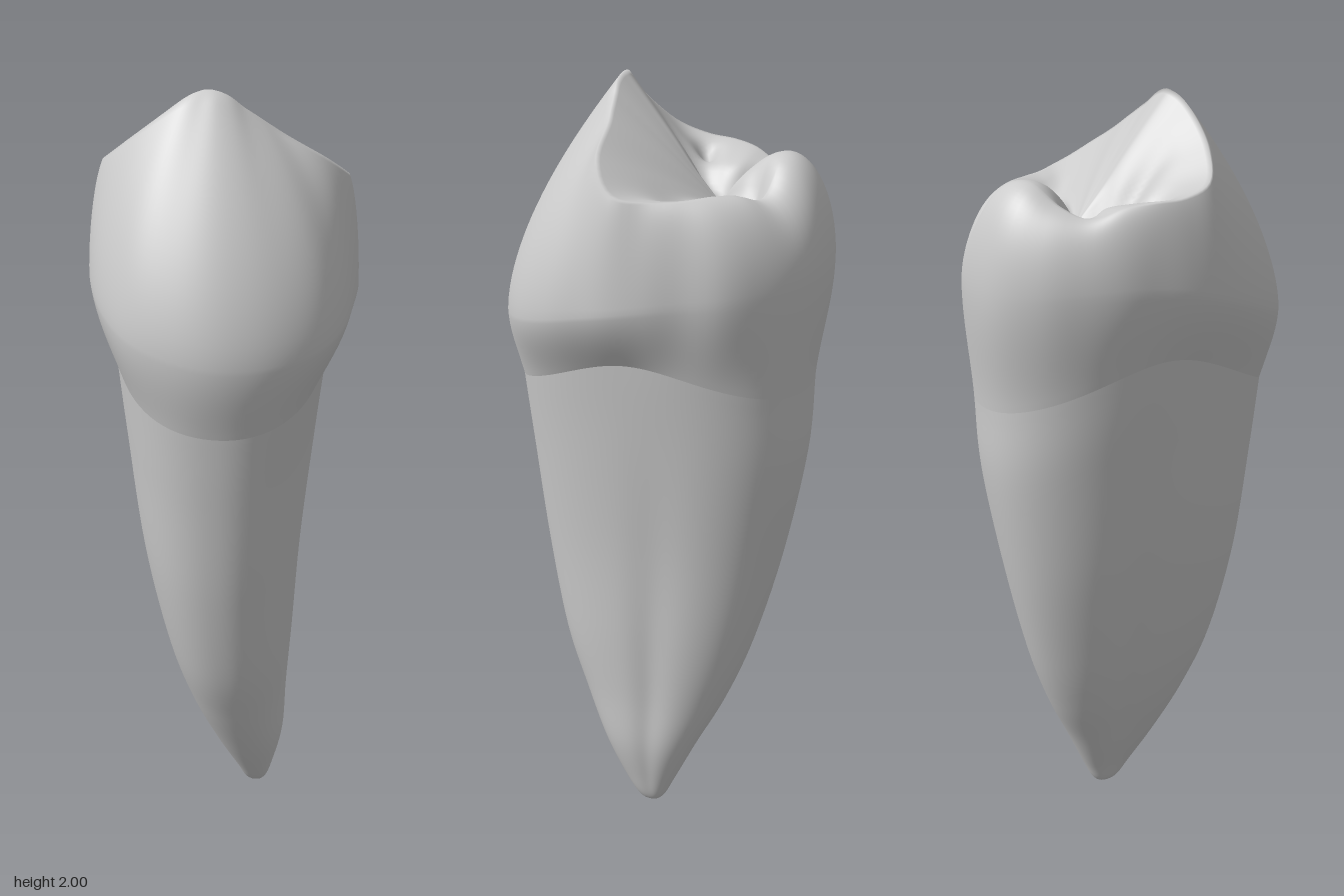
import * as THREE from 'three';

const COLS = 120;
const mix = THREE.MathUtils.lerp;
const TILT = Math.PI / 4; // the cheek side faces diagonally between +x and +z

// Values every 15 degrees, from +x towards +z
const BULGE = [.381, .393, .402, .407, .402, .391, .367, .345, .328, .317, .317, .335,
  .36, .397, .423, .42, .408, .39, .375, .346, .342, .343, .343, .36];
const RIM = [.137, .122, .117, .115, .118, .142, .18, .23, .28, .285, .285, .288,
  .3, .3, .3, .3, .295, .29, .285, .288, .295, .312, .255, .17];
const RIM_HEIGHT = [1.935, 1.96, 1.985, 1.998, 2, 1.985, 1.945, 1.89, 1.83, 1.805, 1.8, 1.79,
  1.765, 1.79, 1.83, 1.82, 1.75, 1.765, 1.77, 1.765, 1.765, 1.78, 1.84, 1.9];

// Smooth periodic lookup
function around(list, angle) {
  const n = list.length, f = angle / (2 * Math.PI) * n, i = Math.floor(f), t = f - i;
  const [a, b, c, d] = [-1, 0, 1, 2].map(k => list[(i + k + n) % n]);
  return b + .5 * t * (c - a + t * (2 * a - 5 * b + 4 * c - d + t * (3 * (b - c) + d - a)));
}

// Root sections: height, centre along and across the tilt axis, half-lengths along and across
const SECTIONS = [
  [0, -.007, -.105, 0, 0], [.02, -.005, -.1, .035, .03], [.08, 0, -.095, .07, .055],
  [.2, .005, -.077, .13, .1], [.35, .003, -.048, .2, .137], [.53, .003, -.026, .265, .172],
  [.8, -.005, -.006, .325, .21], [1.1, -.015, -.003, .368, .245], [1.3, -.01, -.004, .382, .268],
];
const rootCentre = new THREE.CatmullRomCurve3(
  SECTIONS.map(s => new THREE.Vector3(s[1], s[0], s[2])), false, 'catmullrom');
const rootSize = new THREE.CatmullRomCurve3(
  SECTIONS.map(s => new THREE.Vector3(s[3], s[0], s[4])), false, 'catmullrom');

// Wavy neck line: low on the cheek and tongue sides, high between
const neckHeight = phi =>
  1.315 - .065 * Math.cos(2 * phi) - .02 * Math.cos(phi) + .025 * Math.sin(phi);

function rootPoint(t, angle) {
  const phi = angle - TILT, c = rootCentre.getPoint(t), s = rootSize.getPoint(t);
  const cos = Math.cos(phi), sin = Math.sin(phi), n = 2.25;
  let r = s.x < 1e-6 ? 0 : (Math.abs(cos / s.x) ** n + Math.abs(sin / s.z) ** n) ** (-1 / n);
  // shallow lengthwise grooves on both flat sides
  const groove = Math.exp(-(((Math.abs(Math.atan2(sin, cos)) - 1.85) / .32) ** 2));
  r *= 1 - .09 * groove * Math.sin(Math.PI * t) ** 2;
  const u = c.x + r * cos, v = c.z + r * sin;
  return new THREE.Vector3((u - v) * Math.SQRT1_2, c.y * neckHeight(phi) / 1.3, (u + v) * Math.SQRT1_2);
}

const polar = (r, y, a) => new THREE.Vector3(r * Math.cos(a), y, r * Math.sin(a));

// Pits and grooves of the chewing surface: x, z, length, width, direction, depth
const PITS = [
  [-.16, .12, .04, .025, 1.9, .035], [-.21, -.045, .1, .03, .15, .06],
  [-.135, -.25, .08, .03, 1.9, .05], [0, -.2, .07, .04, .1, .035], [-.11, .03, .08, .03, .9, .04],
];
function pitDepth(x, z) {
  return PITS.reduce((sum, [px, pz, len, wid, dir, depth]) => {
    const c = Math.cos(dir), s = Math.sin(dir), dx = x - px, dz = z - pz;
    return sum + depth * Math.exp(-(((dx * c + dz * s) / len) ** 2) - ((dz * c - dx * s) / wid) ** 2);
  }, 0);
}

const NECK_ROWS = 14, WALL_ROWS = 22, TABLE_ROWS = 28;
function crownPoint(row, angle) {
  const phi = angle - TILT, cheek = .5 + .5 * Math.cos(phi), side = Math.sin(phi) ** 2;
  const bulge = around(BULGE, angle);
  const bulgeY = 1.49 - .07 * Math.cos(phi) + .04 * Math.sin(phi) + .05 * side;
  const rim = around(RIM, angle), rimY = around(RIM_HEIGHT, angle);
  if (row <= NECK_ROWS) { // swelling above the neck, crisp on the cheek and gradual at the sides
    const s = row / NECK_ROWS, p = rootPoint(1, angle), q = polar(bulge, bulgeY, angle);
    const soft = mix(Math.sin(s * Math.PI / 2), s * s * (3 - 2 * s), mix(.55, .2, cheek));
    const k = mix(soft, s * (1.5 - .5 * s), .7 * side);
    return new THREE.Vector3(mix(p.x, q.x, k), mix(p.y, q.y, s), mix(p.z, q.z, k));
  }
  if (row <= NECK_ROWS + WALL_ROWS) { // wall: sloping on the cheek side, domed on the tongue side
    const s = (row - NECK_ROWS) / WALL_ROWS, turn = s * Math.PI / 2;
    const inward = mix(1 - Math.cos(turn), s ** 1.6, cheek);
    const rise = mix(Math.sin(turn), s, cheek);
    return polar(mix(bulge, rim, inward), mix(bulgeY, rimY, rise), angle);
  }
  // chewing surface sinking from the rim to the central hollow
  const t = 1 - (row - NECK_ROWS - WALL_ROWS) / TABLE_ROWS;
  const p = polar(rim, 0, angle);
  p.x = mix(-.11, p.x, t);
  p.z = mix(-.09, p.z, t);
  const fall = mix(t * (2 - t), t, cheek);
  p.y = mix(1.7, rimY, fall) - pitDepth(p.x, p.z) * Math.min(1, (1 - t) * 4);
  return p;
}

// Closed rings of points joined into a smooth skin
function skin(name, rows, pointAt) {
  const positions = [], index = [];
  for (let r = 0; r <= rows; r++) {
    for (let c = 0; c < COLS; c++) {
      positions.push(...pointAt(r, c / COLS * 2 * Math.PI).toArray());
      if (r === rows) continue;
      const a = r * COLS + c, b = r * COLS + (c + 1) % COLS;
      index.push(a, a + COLS, b, b, a + COLS, b + COLS);
    }
  }
  const geometry = new THREE.BufferGeometry();
  geometry.setAttribute('position', new THREE.Float32BufferAttribute(positions, 3));
  geometry.setIndex(index);
  geometry.computeVertexNormals();
  const mesh = new THREE.Mesh(geometry, new THREE.MeshStandardMaterial({ color: 0xcccccc }));
  mesh.name = name;
  return mesh;
}

export function createModel() {
  const tooth = new THREE.Group();
  tooth.name = 'tooth';
  const rootRows = 56;
  tooth.add(skin('root', rootRows, (r, a) => rootPoint(r / rootRows, a)));
  tooth.add(skin('crown', NECK_ROWS + WALL_ROWS + TABLE_ROWS, crownPoint));
  return tooth;
}
